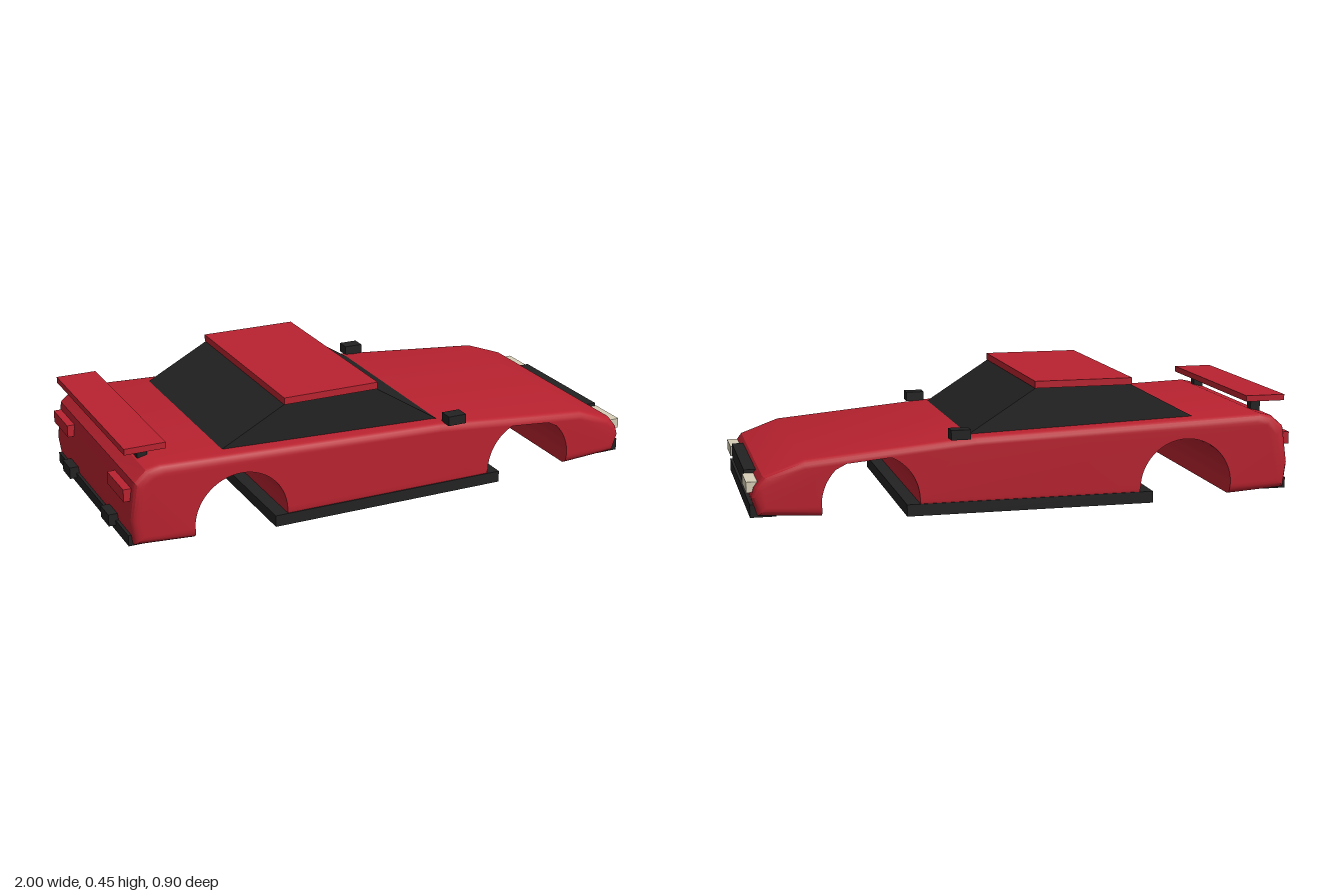
import * as THREE from 'three';
import { toCreasedNormals } from 'three/addons/utils/BufferGeometryUtils.js';

const ARCH_X = 0.575, ARCH_Y = 0.056, ARCH_R = 0.172;
const clamp = THREE.MathUtils.clamp;

// Height of the upper body line between nose and tail
const deckY = (x) => (x < 0.2 ? 0.27 - (x - 0.2) * 0.035 : 0.27 - (x - 0.2) * 0.09);

function bodyGeometry() {
  const s = new THREE.Shape();
  s.moveTo(-0.96, 0.028);
  s.lineTo(-0.745, 0.014);
  s.lineTo(-ARCH_X - ARCH_R, ARCH_Y);
  s.absarc(-ARCH_X, ARCH_Y, ARCH_R, Math.PI, 0, true);
  s.lineTo(-0.4, 0.02);
  s.lineTo(0.4, 0.02);
  s.lineTo(ARCH_X - ARCH_R, ARCH_Y);
  s.absarc(ARCH_X, ARCH_Y, ARCH_R, Math.PI, 0, true);
  s.lineTo(0.745, 0.014);
  s.lineTo(0.965, 0.026);
  s.lineTo(0.985, 0.09);
  s.lineTo(0.975, 0.125);
  s.lineTo(0.945, 0.164);
  s.lineTo(0.805, 0.2155);
  s.lineTo(0.2, 0.27);
  s.lineTo(-0.86, deckY(-0.86));
  s.lineTo(-0.91, 0.295);
  s.lineTo(-0.953, 0.257);
  s.lineTo(-0.972, 0.12);
  s.closePath();

  // Straight extrusion whose outermost steps are drawn in as a rounded edge
  const steps = 9, half = 4.5, bevel = 0.03;
  const g = new THREE.ExtrudeGeometry(s, { depth: steps, steps, bevelEnabled: false, curveSegments: 28 });
  const p = g.attributes.position;
  for (let i = 0; i < p.count; i++) {
    let x = p.getX(i), y = p.getY(i);
    const k = p.getZ(i) - half;
    const a = clamp((Math.abs(k) - 0.5) / 4, 0, 1) * Math.PI / 2;
    const inset = bevel * (1 - Math.cos(a));
    const onArch = Math.hypot(Math.abs(x) - ARCH_X, y - ARCH_Y) < ARCH_R + 0.003;
    if (onArch) {
      y = Math.min(y, deckY(x) - inset - 0.001);
    } else {
      x -= Math.sign(x) * inset * clamp((Math.abs(x) - 0.78) / 0.15, 0, 1);
      y -= inset * clamp((y - 0.12) / 0.08, -1, 1);
    }
    p.setXYZ(i, x, y, Math.sign(k) * (0.405 + bevel * Math.sin(a)));
  }
  return toCreasedNormals(g, 0.45);
}

export function createModel() {
  const car = new THREE.Group();
  car.name = 'car';
  const mat = (name, color) => {
    const m = new THREE.MeshStandardMaterial({ color });
    m.name = name;
    return m;
  };
  const red = mat('red paint', 0xb8222f);
  const black = mat('black trim', 0x222222);
  const cream = mat('lamp cream', 0xd6ceb6);

  const add = (name, geometry, material) => {
    const m = new THREE.Mesh(geometry, material);
    m.name = name;
    car.add(m);
    return m;
  };
  // Box given by its limits on each axis
  const box = (name, material, [x0, x1], [y0, y1], [z0, z1]) =>
    add(name, new THREE.BoxGeometry(x1 - x0, y1 - y0, z1 - z0), material)
      .position.set((x0 + x1) / 2, (y0 + y1) / 2, (z0 + z1) / 2);
  const pair = (name, material, x, y, [z0, z1]) => {
    box(name + 'Left', material, x, y, [-z1, -z0]);
    box(name + 'Right', material, x, y, [z0, z1]);
  };

  add('body', bodyGeometry(), red);

  // Cabin glass with sloping front and rear
  const cabin = new THREE.Shape([
    [-0.66, 0.276], [0.242, 0.252], [-0.03, 0.425], [-0.38, 0.425],
  ].map(([x, y]) => new THREE.Vector2(x, y)));
  const glass = new THREE.ExtrudeGeometry(cabin, { depth: 0.74, bevelEnabled: false });
  glass.translate(0, 0, -0.37);
  add('cabinGlass', glass, black);
  box('roof', red, [-0.385, -0.025], [0.424, 0.449], [-0.375, 0.375]);

  // Floor and bumpers
  box('floorPan', black, [-0.45, 0.45], [0, 0.042], [-0.437, 0.437]);
  box('frontBumper', black, [0.9, 0.99], [0.02, 0.065], [-0.408, 0.408]);
  box('rearBumper', black, [-0.975, -0.88], [0.02, 0.06], [-0.4, 0.4]);

  // Nose
  box('grille', black, [0.94, 0.994], [0.1, 0.155], [-0.248, 0.248]);
  pair('headlight', cream, [0.95, 1], [0.106, 0.143], [0.248, 0.398]);

  // Mirrors
  pair('mirror', black, [0.225, 0.295], [0.265, 0.3], [0.397, 0.45]);

  // Tail
  pair('tailLight', red, [-0.985, -0.94], [0.185, 0.23], [0.23, 0.4]);
  pair('exhaust', black, [-1, -0.95], [0.042, 0.085], [0.18, 0.267]);
  pair('spoilerPost', black, [-0.903, -0.867], [0.28, 0.346], [0.28, 0.316]);
  box('spoilerWing', red, [-0.97, -0.822], [0.345, 0.367], [-0.383, 0.383]);

  return car;
}
